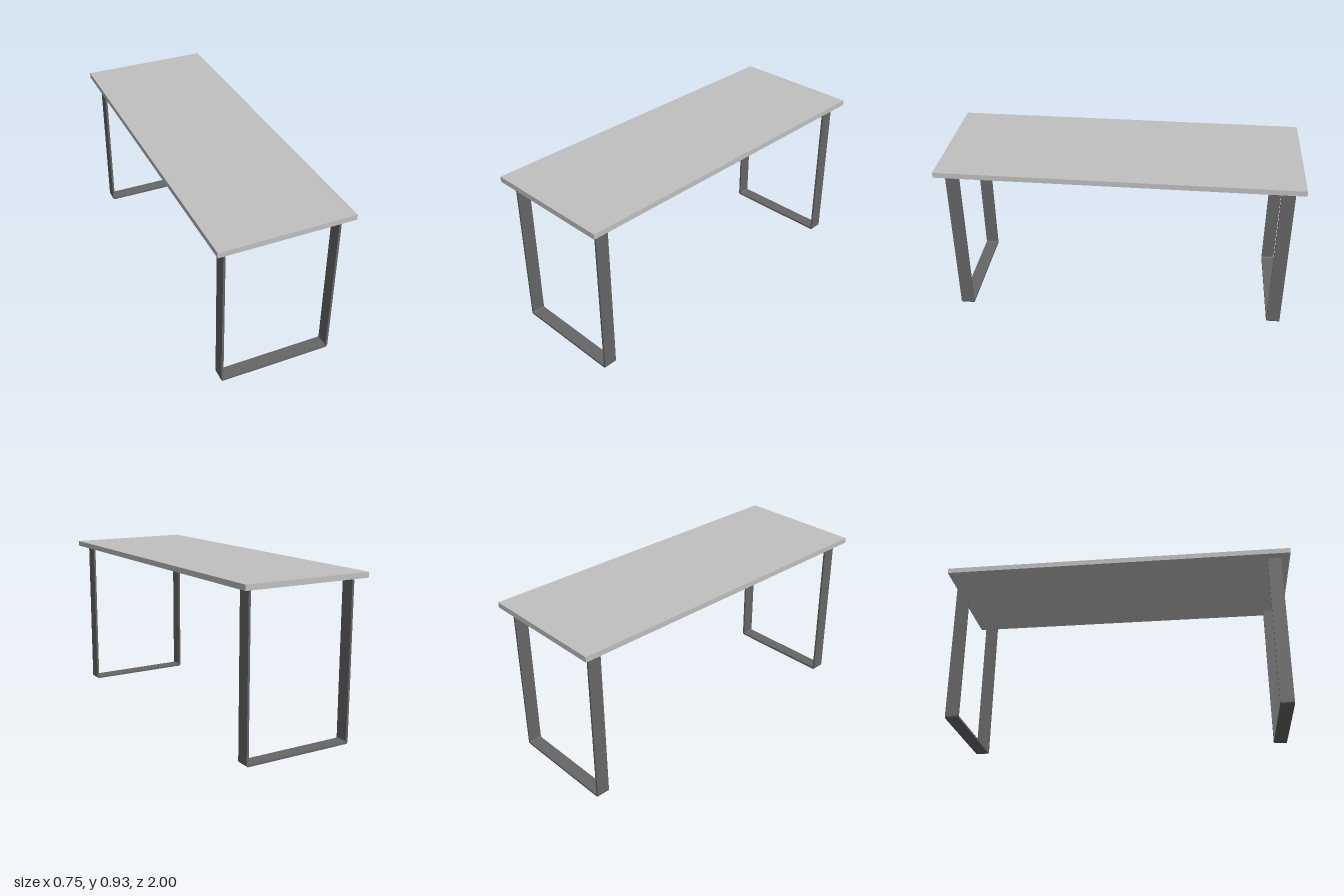
import * as THREE from 'three';

const TOP = { width: 0.75, depth: 2, bottom: 0.897, thickness: 0.03 };
const LEG = { halfWidth: 0.323, bar: 0.012, depth: 0.076, z: 0.912, outerRadius: 0.012, innerRadius: 0.008 };

// U-shaped flat-bar profile, rounded at the two floor corners
function legShape() {
  const { halfWidth: w, bar: t, outerRadius: R, innerRadius: r } = LEG;
  const h = TOP.bottom, i = w - t;
  const s = new THREE.Shape();
  s.moveTo(-w, h);
  s.lineTo(-w, R);
  s.absarc(-w + R, R, R, Math.PI, Math.PI * 1.5, false);
  s.lineTo(w - R, 0);
  s.absarc(w - R, R, R, -Math.PI / 2, 0, false);
  s.lineTo(w, h);
  s.lineTo(i, h);
  s.lineTo(i, t + r);
  s.absarc(i - r, t + r, r, 0, -Math.PI / 2, true);
  s.lineTo(-i + r, t);
  s.absarc(-i + r, t + r, r, -Math.PI / 2, -Math.PI, true);
  s.lineTo(-i, h);
  s.closePath();
  return s;
}

export function createModel() {
  const group = new THREE.Group();
  group.name = 'table';

  const topMaterial = new THREE.MeshStandardMaterial({ color: 0xc0c0c0 });
  topMaterial.name = 'light grey';
  const legMaterial = new THREE.MeshStandardMaterial({ color: 0x666666 });
  legMaterial.name = 'dark grey metal';

  // Tabletop slab
  const top = new THREE.Mesh(new THREE.BoxGeometry(TOP.width, TOP.thickness, TOP.depth), topMaterial);
  top.name = 'tabletop';
  top.position.y = TOP.bottom + TOP.thickness / 2;
  group.add(top);

  // One U-shaped leg frame at each end
  const legGeometry = new THREE.ExtrudeGeometry(legShape(), {
    depth: LEG.depth, bevelEnabled: false, curveSegments: 6,
  });
  legGeometry.translate(0, 0, -LEG.depth / 2);
  for (const [name, side] of [['frontLeg', 1], ['backLeg', -1]]) {
    const leg = new THREE.Mesh(legGeometry, legMaterial);
    leg.name = name;
    leg.position.z = side * LEG.z;
    group.add(leg);
  }
  return group;
}
